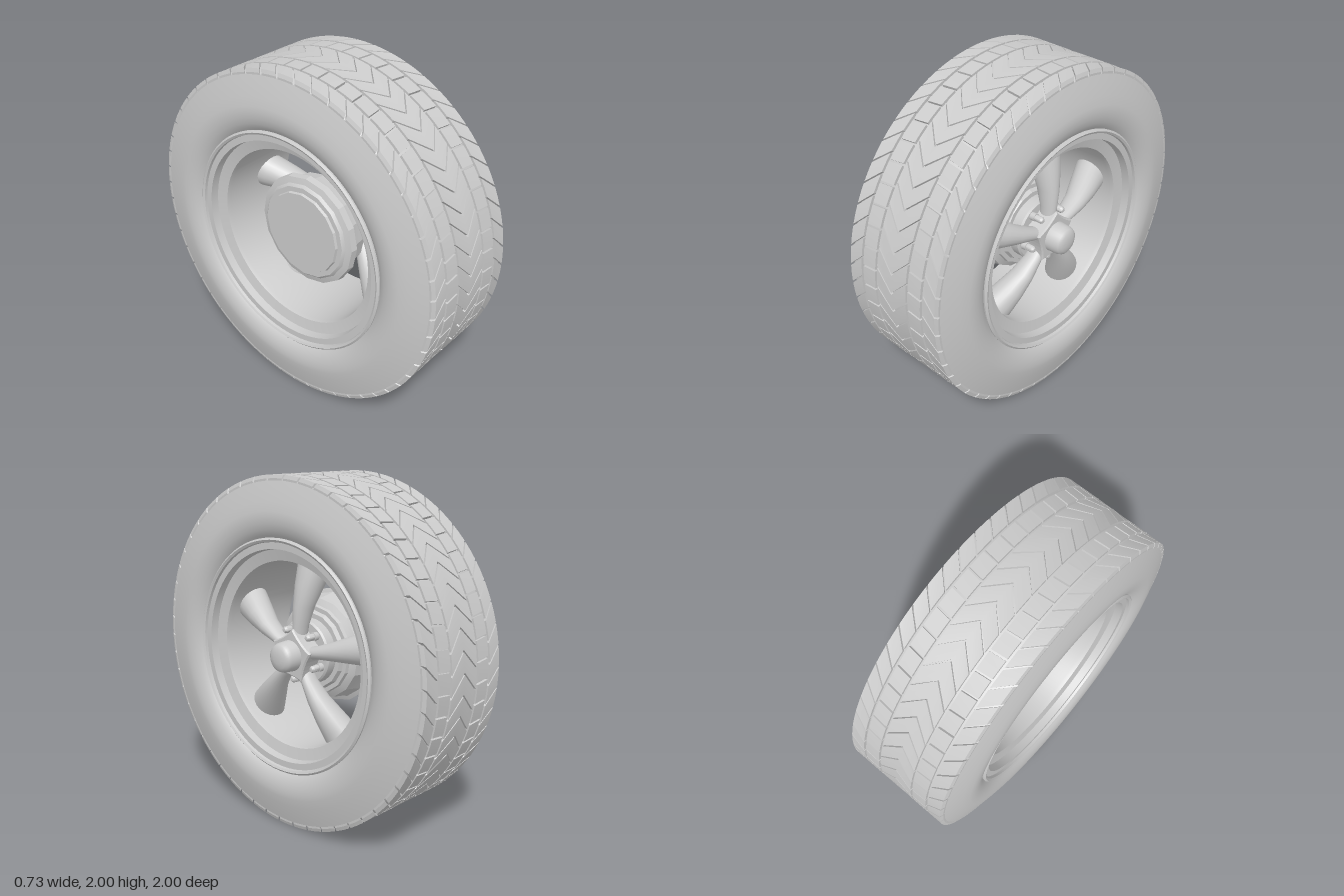
import * as THREE from 'three';
import { mergeGeometries, toCreasedNormals } from 'three/addons/utils/BufferGeometryUtils.js';

const material = new THREE.MeshStandardMaterial({ color: 0xcccccc });

// Surface of revolution about the x axis from [x, radius] pairs
function revolve(points, segments, crease = 0.6) {
  const geometry = new THREE.LatheGeometry(points.map(([x, r]) => new THREE.Vector2(r, x)), segments);
  return toCreasedNormals(geometry.rotateZ(-Math.PI / 2), crease);
}

// Capped skin over loops of points, counter-clockwise about the travel direction
function loft(loops, crease) {
  const n = loops[0].length, last = (loops.length - 1) * n, index = [];
  for (let k = 0; k < loops.length - 1; k++) {
    for (let i = 0; i < n; i++) {
      const a = k * n + i, b = k * n + (i + 1) % n;
      index.push(a, b, b + n, a, b + n, a + n);
    }
  }
  for (let i = 1; i < n - 1; i++) index.push(0, i + 1, i, last, last + i, last + i + 1);
  const geometry = new THREE.BufferGeometry();
  geometry.setAttribute('position', new THREE.Float32BufferAttribute(loops.flat(2), 3));
  geometry.setIndex(index);
  return toCreasedNormals(geometry, crease);
}

// Copies of a geometry spaced evenly around the axle
function ringOf(geometry, count, start = 0) {
  const copies = [];
  for (let i = 0; i < count; i++) {
    copies.push(geometry.clone().rotateX(start + i * Math.PI * 2 / count));
  }
  return mergeGeometries(copies);
}

// The same profile on the other side, in reverse order
const farSide = half => half.map(([x, r]) => [-x, r]).reverse();

const TREADS = 54, PITCH = Math.PI * 2 / TREADS;

// One tread block along a path of [x, radius, angle lead], separated by thin grooves
function treadBlock(path) {
  const width = PITCH - 0.012, depth = 0.03;
  return loft(path.map(([x, r, lead]) => {
    const at = (radius, f) => {
      const t = lead + width * f;
      return [x, radius * Math.cos(t), radius * Math.sin(t)];
    };
    return [at(r, 0), at(r, 0.5), at(r, 1), at(r - depth, 1), at(r - depth, 0)];
  }), 0.3);
}

export function createModel() {
  const wheel = new THREE.Group();
  wheel.name = 'wheel';
  const axle = new THREE.Group();
  axle.name = 'wheelAssembly';
  axle.position.y = 1;
  wheel.add(axle);
  const add = (name, geometry) => {
    const mesh = new THREE.Mesh(geometry, material);
    mesh.name = name;
    axle.add(mesh);
  };

  // Tyre carcass
  const sidewall = [
    [0.3, 0.984], [0.321, 0.972], [0.335, 0.925], [0.352, 0.86], [0.363, 0.81], [0.366, 0.78],
    [0.363, 0.745], [0.354, 0.71], [0.338, 0.68], [0.315, 0.655], [0.28, 0.63],
  ];
  add('tyre', revolve([...farSide(sidewall), ...sidewall], 108, 0.7));

  // Tread: central chevrons, square blocks and slanted shoulders
  add('treadChevrons', ringOf(treadBlock([[-0.107, 1, 0], [0, 1, 0.11], [0.107, 1, 0]]), TREADS));
  for (const [side, name] of [[1, 'left'], [-1, 'right']]) {
    const row = path => {
      const placed = path.map(([x, r, lead]) => [x * side, r, lead]);
      return ringOf(treadBlock(side > 0 ? placed : placed.reverse()), TREADS);
    };
    add(name + 'TreadBlocks', row([[0.121, 1, 0.03], [0.212, 1, 0.04]]));
    add(name + 'TreadShoulder', row([[0.227, 1, 0], [0.314, 1, 0.085], [0.322, 0.98, 0.093]]));
  }

  // Rim: stepped lip on both sides and an open barrel
  const lip = [
    [0.27, 0.62], [0.31, 0.665], [0.336, 0.668], [0.345, 0.657], [0.338, 0.645], [0.322, 0.642],
    [0.322, 0.605], [0.275, 0.6], [0.26, 0.535], [0.235, 0.53],
  ];
  add('rim', revolve([...lip, ...farSide(lip), lip[0]], 80));

  // Five flared rounded spokes
  const sections = [
    // radius, x centre, half depth, half width
    [0.08, 0.18, 0.05, 0.035], [0.17, 0.18, 0.055, 0.038], [0.28, 0.165, 0.07, 0.055],
    [0.4, 0.13, 0.09, 0.08], [0.49, 0.1, 0.1, 0.098], [0.55, 0.08, 0.105, 0.11],
  ];
  const spoke = loft(sections.map(([r, x, depth, width]) => Array.from({ length: 20 }, (_, i) => {
    const u = i * Math.PI / 10;
    return [x + depth * Math.sin(u), r, width * Math.cos(u)];
  })), 0.8);
  const turn = -Math.PI / 30;
  add('spokes', ringOf(spoke, 5, turn));

  // Five-sided hub plate with scooped edges, corners in line with the spokes
  const plate = new THREE.Shape();
  plate.moveTo(0, 0.145);
  for (let i = 1; i <= 5; i++) {
    const a = i * Math.PI * 0.4, m = a - Math.PI * 0.2;
    plate.quadraticCurveTo(-0.1 * Math.sin(m), 0.1 * Math.cos(m), -0.145 * Math.sin(a), 0.145 * Math.cos(a));
  }
  const hub = new THREE.ExtrudeGeometry(plate, {
    depth: 0.12, bevelEnabled: true, bevelSize: 0.008, bevelThickness: 0.008, bevelSegments: 1, curveSegments: 6,
  });
  add('hubPlate', hub.rotateY(Math.PI / 2).translate(0.12, 0, 0).rotateX(turn));

  // Domed centre cap
  add('centreCap', revolve([
    [0.23, 0.09], [0.31, 0.085], [0.33, 0.077], [0.342, 0.058], [0.348, 0.03], [0.349, 0],
  ], 32, 0.8));

  // Lug nuts on a round mounting flange
  add('mountingFlange', revolve([[0.05, 0], [0.05, 0.19], [0.13, 0.19], [0.14, 0.18], [0.14, 0]], 32));
  const lug = revolve([[0.13, 0.024], [0.17, 0.024], [0.17, 0.02], [0.21, 0.02], [0.222, 0.012], [0.225, 0]], 12);
  add('lugNuts', ringOf(lug.translate(0, 0.15, 0), 5, turn + Math.PI / 5));

  // Faceted brake drum with stepped faces
  add('brakeDrum', revolve([
    [-0.19, 0], [-0.19, 0.25], [-0.175, 0.255], [-0.175, 0.285], [-0.16, 0.3], [-0.15, 0.335],
    [-0.11, 0.34], [-0.1, 0.315], [-0.06, 0.305], [0.01, 0.295], [0.03, 0.26],
    [0.05, 0.255], [0.05, 0.23], [0.075, 0.22], [0.075, 0],
  ], 16, 0.3));

  return wheel;
}
